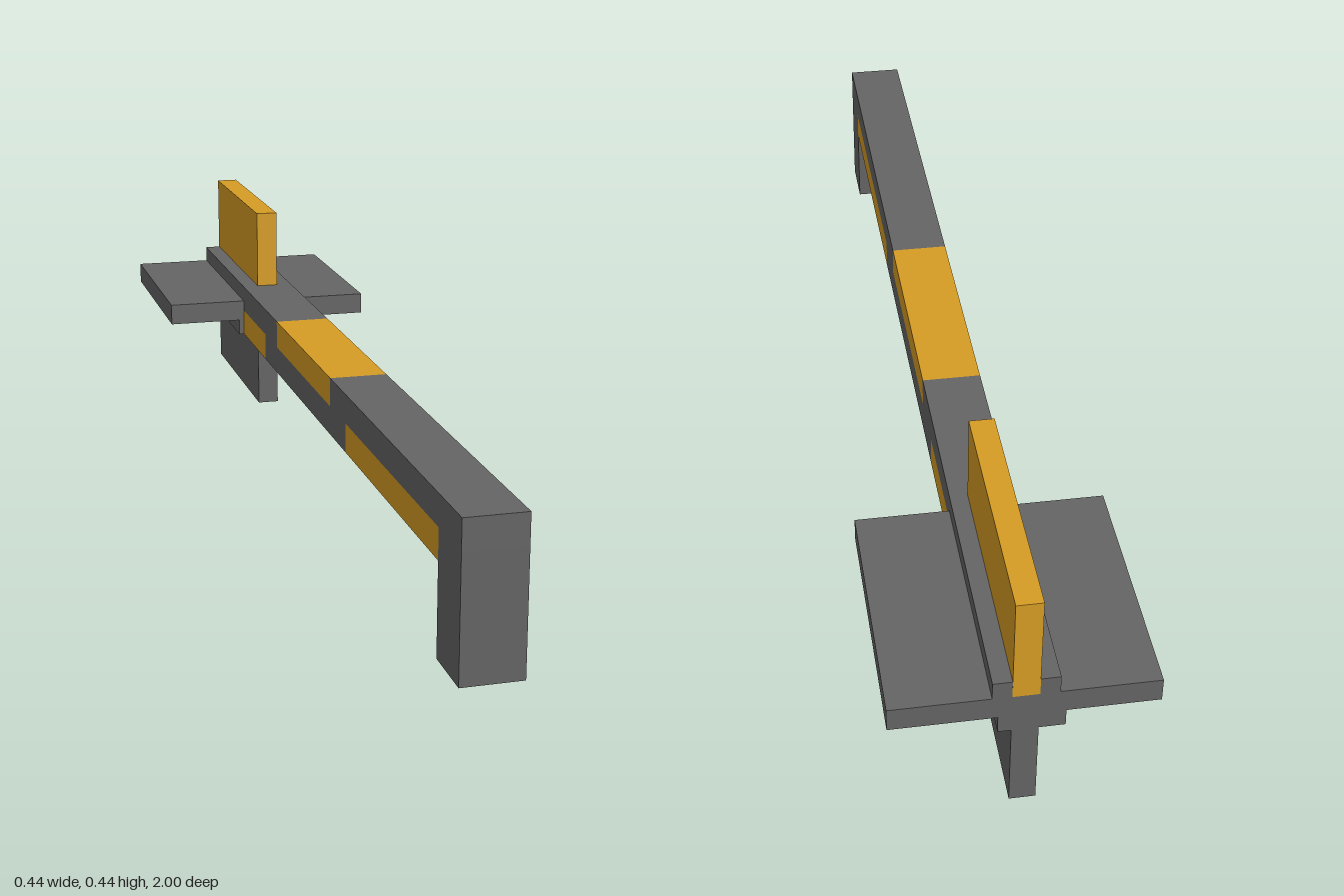
import * as THREE from 'three';

const grey = new THREE.MeshStandardMaterial({ color: 0x646464 });
const amber = new THREE.MeshStandardMaterial({ color: 0xd69c24 });

// Box given by its [min, max] along each axis
function block(name, material, [x0, x1], [y0, y1], [z0, z1]) {
  const mesh = new THREE.Mesh(new THREE.BoxGeometry(x1 - x0, y1 - y0, z1 - z0), material);
  mesh.position.set((x0 + x1) / 2, (y0 + y1) / 2, (z0 + z1) / 2);
  mesh.name = name;
  return mesh;
}

export function createModel() {
  const model = new THREE.Group();
  model.name = 'finnedShaft';
  const shaftX = [-0.0555, 0.0545];
  const finX = [-0.0225, 0.0222];
  const tail = [-1, -0.5555];

  // Upper half of the shaft: grey, amber, grey
  const upper = [0.2222, 0.2778];
  model.add(
    block('upperShaftFront', grey, shaftX, upper, [0.2222, 1]),
    block('upperShaftBand', amber, shaftX, upper, [-0.2222, 0.2222]),
    block('upperShaftRear', grey, shaftX, upper, [-0.5555, -0.2222]),
    block('tailTop', grey, shaftX, [0.2444, 0.2778], tail)
  );

  // Lower half of the shaft: amber, grey, amber
  const lower = [0.1667, 0.2222];
  model.add(
    block('lowerShaftFront', amber, shaftX, lower, [0.3333, 0.8889]),
    block('lowerShaftMiddle', grey, shaftX, lower, [-0.3333, 0.3333]),
    block('lowerShaftRear', amber, shaftX, lower, [-0.5555, -0.3333])
  );

  // Downturned nose
  model.add(block('frontLeg', grey, shaftX, [0, 0.2222], [0.8889, 1]));

  // Tail: flat wings, collar beneath them, and upright fins
  model.add(
    block('wings', grey, [-0.2222, 0.2222], [0.2, 0.2444], tail),
    block('tailCollar', grey, [-0.0665, 0.0445], [0.1667, 0.2], tail),
    block('lowerFin', grey, finX, [0, 0.1667], tail),
    block('upperFin', amber, finX, [0.2444, 0.4444], [-1.0005, -0.5555])
  );
  return model;
}
